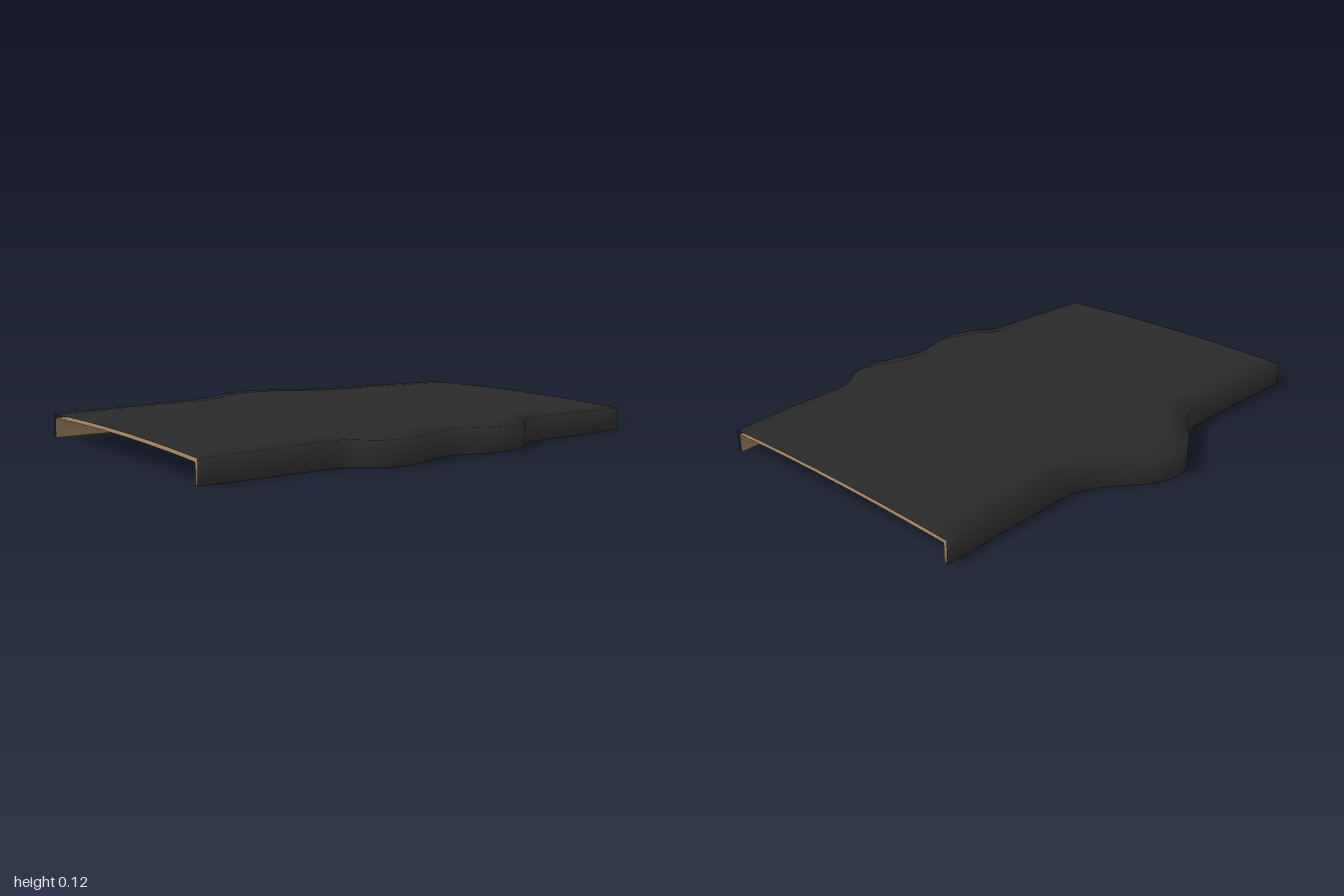
import * as THREE from 'three';

// Half outlines from the centre outwards, sharing the same x stations
const xs = [0, 0.05, 0.1, 0.15, 0.2, 0.25, 0.3, 0.36, 0.4, 0.45, 0.55, 0.75, 1];
const frontZ = [0.693, 0.698, 0.713, 0.73, 0.742, 0.745, 0.737, 0.712, 0.68, 0.65, 0.64, 0.64, 0.628];
const backZ = [-0.745, -0.738, -0.717, -0.683, -0.642, -0.605, -0.576, -0.552, -0.545, -0.543, -0.546, -0.548, -0.558];

// Smooth, mirrored outline running from x = -1 to x = 1
function outline(zs) {
  const half = new THREE.SplineCurve(xs.map((x, i) => new THREE.Vector2(x, zs[i]))).getPoints(36);
  const left = half.slice(1).reverse().map((p) => new THREE.Vector2(-p.x, p.y));
  return [...left, ...half];
}

// Gently crowned top surface
const crown = (x, z) => 0.117 - 0.013 * x * x - 0.036 * z * z;

// Sheet lofted along x: back skirt, crowned top, front skirt
function sheet(name, color, inset) {
  const front = outline(frontZ), back = outline(backZ);
  const steps = [0, 0.08, 0.16, 0.28, 0.42, 0.58, 0.72, 0.84, 0.92, 1];
  const positions = [], index = [];
  const rows = steps.length + 2;
  front.forEach((f, i) => {
    const x = f.x, z0 = back[i].y + inset, z1 = f.y - inset;
    positions.push(x, 0, z0);
    for (const t of steps) {
      const z = THREE.MathUtils.lerp(z0, z1, t);
      positions.push(x, crown(x, z) - inset, z);
    }
    positions.push(x, 0, z1);
    if (i === 0) return;
    for (let j = 0; j < rows - 1; j++) {
      const a = (i - 1) * rows + j, b = a + rows;
      index.push(a, a + 1, b, b, a + 1, b + 1);
    }
  });
  const geometry = new THREE.BufferGeometry();
  geometry.setAttribute('position', new THREE.Float32BufferAttribute(positions, 3));
  geometry.setIndex(index);
  geometry.computeVertexNormals();
  const mesh = new THREE.Mesh(geometry, new THREE.MeshStandardMaterial({ color, side: THREE.DoubleSide }));
  mesh.name = name;
  return mesh;
}

export function createModel() {
  const group = new THREE.Group();
  group.name = 'curvedCover';
  // Dark outer skin over a tan lining, with open ends
  group.add(sheet('outerShell', 0x2a2a2a, 0));
  group.add(sheet('innerLining', 0x9c7d5a, 0.014));
  return group;
}
